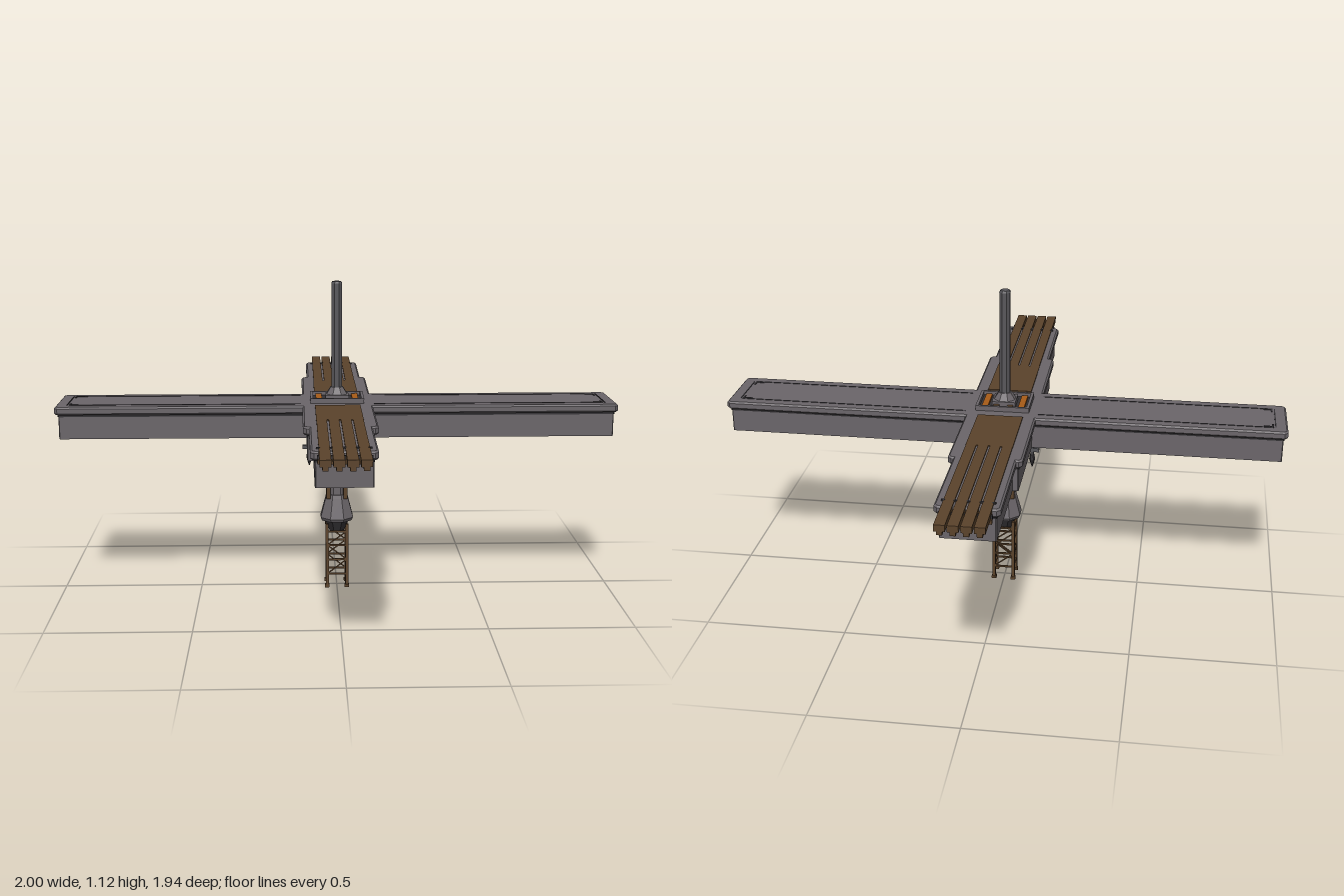
import * as THREE from 'three';

const mat = (name, color) => new THREE.MeshStandardMaterial({ name, color });

export function createModel() {
  const model = new THREE.Group();
  model.name = 'crossPlatform';
  const grey = mat('hull grey', 0x6b666a);
  const steel = mat('mast steel', 0x58575b);
  const dark = mat('dark metal', 0x343235);
  const brown = mat('rust brown', 0x5b432b);
  const orange = mat('hatch orange', 0xa85c18);

  const add = (name, geo, material, x = 0, y = 0, z = 0) => {
    const m = new THREE.Mesh(geo, material);
    m.name = name;
    m.position.set(x, y, z);
    model.add(m);
    return m;
  };
  // box given by its centre and size
  const box = (name, material, x, y, z, w, h, d) =>
    add(name, new THREE.BoxGeometry(w, h, d), material, x, y, z);
  // faceted cylinder standing between two heights, with flats facing the axes
  const drum = (name, material, y0, y1, r0, r1, x = 0, z = 0, sides = 8) => {
    const g = new THREE.CylinderGeometry(r1, r0, y1 - y0, sides).rotateY(Math.PI / sides).toNonIndexed();
    g.computeVertexNormals();
    return add(name, g, material, x, (y0 + y1) / 2, z);
  };
  // thin bar between two points
  const bar = (name, material, a, b, t) => {
    const p = new THREE.Vector3(...a), q = new THREE.Vector3(...b);
    const m = box(name, material, 0, 0, 0, t, t, p.distanceTo(q));
    m.position.copy(p).add(q).multiplyScalar(0.5);
    m.lookAt(q);
  };

  // cross-shaped slab with stepped front and back arms
  const cross = (name, material, inset, c, y0, y1, bevel) => {
    const X = 1 - inset, w = 0.123 - inset, b = 0.125 - inset;
    const s = 0.48 - inset, b2 = 0.105 - inset, Z = 0.84 - inset;
    const q = [[X, w - c], [X - c, w], [b, w], [b, s - c], [b - c, s], [b2, s], [b2, Z - c], [b2 - c, Z]];
    const r = [...q].reverse();
    const outline = [
      ...q, ...r.map(([x, z]) => [-x, z]),
      ...q.map(([x, z]) => [-x, -z]), ...r.map(([x, z]) => [x, -z]),
    ].map(([x, z]) => new THREE.Vector2(x, z));
    const geo = new THREE.ExtrudeGeometry(new THREE.Shape(outline), {
      depth: y1 - y0 - 2 * bevel, bevelEnabled: bevel > 0, bevelThickness: bevel,
      bevelSize: bevel, bevelOffset: -bevel, bevelSegments: 1,
    }).rotateX(-Math.PI / 2);
    add(name, geo, material, 0, y0 + bevel, 0);
  };
  cross('hull', grey, 0.014, 0.003, 0.58, 0.66, 0);
  cross('hullGroove', dark, 0.012, 0.003, 0.66, 0.668, 0);
  cross('deckLip', grey, 0, 0.012, 0.668, 0.697, 0.006);

  // engraved lines on the side arms
  for (const sx of [-1, 1]) {
    for (const sz of [-1, 1]) {
      box('deckLine', dark, sx * 0.54, 0.697, sz * 0.083, 0.82, 0.003, 0.004);
      box('deckBracket', dark, sx * 0.948, 0.697, sz * 0.07, 0.006, 0.004, 0.03);
      box('deckBracketFoot', dark, sx * 0.933, 0.697, sz * 0.076, 0.03, 0.004, 0.005);
    }
    box('deckEndLine', dark, sx * 0.958, 0.697, 0, 0.004, 0.003, 0.166);
  }

  // launch rails on the front and back arms
  for (const sz of [-1, 1]) {
    box('deckPanel', brown, 0, 0.69, sz * 0.25, 0.16, 0.022, 0.26);
    for (let i = 0; i < 4; i++) {
      const x = -0.0615 + i * 0.041;
      box('rail', brown, x, 0.69, sz * 0.675, 0.035, 0.022, 0.59);
      box('railKeel', brown, x, 0.674, sz * 0.9, 0.018, 0.014, 0.14);
    }
    box('railCrossBeam', brown, 0, 0.673, sz * 0.87, 0.168, 0.014, 0.018);
    for (const x of [-0.08, -0.041, 0, 0.041, 0.08]) {
      box('railClip', dark, x, 0.699, sz * 0.8, 0.012, 0.006, 0.008);
      box('railClip', dark, x, 0.684, sz * 0.865, 0.01, 0.014, 0.01);
    }
  }

  // hatch around the foot of the mast
  box('hatchFloor', dark, 0, 0.698, 0, 0.18, 0.006, 0.14);
  for (const s of [-1, 1]) {
    box('hatchFrame', grey, 0, 0.705, s * 0.07, 0.192, 0.02, 0.01);
    box('hatchFrame', grey, s * 0.091, 0.705, 0, 0.01, 0.02, 0.14);
    box('hatchPanel', orange, s * 0.065, 0.703, 0, 0.022, 0.012, 0.116);
    for (const z of [-0.05, 0.05]) box('hatchRib', brown, s * 0.025, 0.705, z, 0.02, 0.012, 0.02);
  }
  box('mastPlate', grey, 0, 0.71, 0, 0.084, 0.02, 0.084);

  // mast
  drum('mastFoot', grey, 0.72, 0.745, 0.04, 0.024);
  drum('mast', steel, 0.74, 1.118, 0.02, 0.02);
  drum('mastCap', steel, 1.118, 1.125, 0.021, 0.017);

  // hanging column with flared collar
  drum('column', grey, 0.33, 0.585, 0.034, 0.034);
  drum('collarTop', grey, 0.335, 0.348, 0.044, 0.04);
  drum('collar', grey, 0.262, 0.335, 0.064, 0.044);
  drum('collarRim', grey, 0.25, 0.262, 0.058, 0.064);
  drum('collarUnderside', dark, 0.205, 0.25, 0.026, 0.046);

  // lattice tower
  const L = 0.036;
  for (const sx of [-1, 1]) for (const sz of [-1, 1]) {
    box('columnRail', brown, sx * 0.031, 0.46, sz * 0.031, 0.016, 0.25, 0.016);
    box('towerLeg', brown, sx * L, 0.12, sz * L, 0.011, 0.24, 0.011);
    box('towerFoot', brown, sx * L, 0.005, sz * L, 0.017, 0.01, 0.017);
  }
  const levels = [0.05, 0.105, 0.16, 0.212];
  for (let side = 0; side < 4; side++) {
    const a = side * Math.PI / 2, c = Math.round(Math.cos(a)), s = Math.round(Math.sin(a));
    const corner = (u, y) => [L * (c * u - s), y, L * (s * u + c)];
    levels.forEach((y, i) => {
      bar('towerRung', brown, corner(-1, y), corner(1, y), 0.006);
      if (i) {
        const u = i % 2 ? 1 : -1;
        bar('towerBrace', brown, corner(-u, levels[i - 1]), corner(u, y), 0.004);
      }
    });
  }

  // antenna spikes below the crossing
  for (const s of [-1, 1]) {
    box('spikeArm', steel, s * 0.08, 0.522, 0, 0.09, 0.014, 0.012);
    for (const x of [0.05, 0.1]) {
      drum('spikeRod', steel, 0.49, 0.585, 0.006, 0.006, s * x, 0, 6);
      drum('spikeCollar', dark, 0.485, 0.505, 0.011, 0.008, s * x, 0, 6);
      drum('spikeTip', dark, 0.455, 0.485, 0.002, 0.011, s * x, 0, 6);
    }
    box('columnStripe', orange, s * 0.033, 0.46, 0, 0.004, 0.2, 0.014);
  }
  return model;
}
